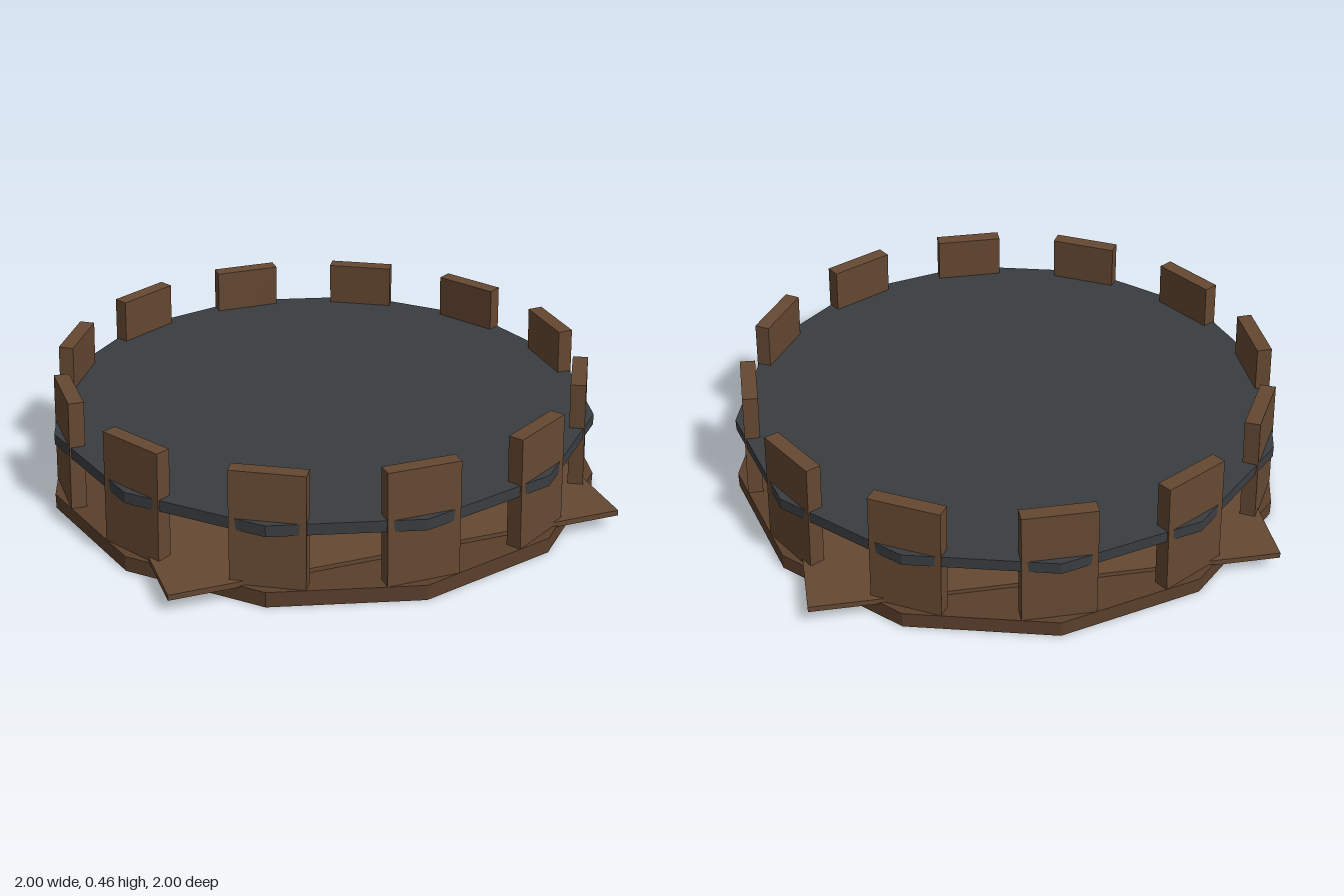
import * as THREE from 'three';

const mat = (color) => new THREE.MeshStandardMaterial({ color, flatShading: true });

export function createModel() {
  const model = new THREE.Group();
  const wood = mat(0x654832);
  const darkWood = mat(0x5a3f2b);
  const slate = mat(0x3a3d40);
  const straw = mat(0x9a8d50);

  const add = (name, geometry, material, y, parent = model) => {
    const mesh = new THREE.Mesh(geometry, material);
    mesh.name = name;
    mesh.position.y = y;
    parent.add(mesh);
    return mesh;
  };

  // Twelve-sided base with a square floor whose corners stick out
  add('base', new THREE.CylinderGeometry(1, 1, 0.055, 12), darkWood, 0.0275);
  add('floor', new THREE.BoxGeometry(1.6, 0.02, 1.6), wood, 0.06);

  // Thin disc carried by the staves
  add('disc', new THREE.CylinderGeometry(0.987, 0.987, 0.04, 12), slate, 0.27);

  // Ring of staves leaning slightly inward
  const staves = new THREE.Group();
  staves.name = 'staves';
  model.add(staves);
  for (let i = 0; i < 12; i++) {
    const pivot = new THREE.Group();
    pivot.name = 'stavePivot';
    pivot.rotation.y = (i * Math.PI) / 6;
    const stave = add('stave', new THREE.BoxGeometry(0.25, 0.4, 0.054), wood, 0.255, pivot);
    stave.position.z = 0.933;
    stave.rotation.x = -0.04;
    staves.add(pivot);
  }

  // Straw bedding with loose stalks on top
  add('bedding', new THREE.CylinderGeometry(0.52, 0.52, 0.065, 12), straw, 0.1);
  const stalks = new THREE.Group();
  stalks.name = 'stalks';
  model.add(stalks);
  for (let i = 0; i < 24; i++) {
    const angle = i * 2.4;
    const radius = 0.1 + 0.4 * Math.sqrt(i / 24);
    const stalk = add('stalk', new THREE.BoxGeometry(0.2, 0.008, 0.012), straw, 0.137, stalks);
    stalk.position.x = Math.sin(angle) * radius;
    stalk.position.z = Math.cos(angle) * radius;
    stalk.rotation.set(0, i * 1.7, 0.08 * Math.sin(i * 3.1));
  }

  return model;
}
